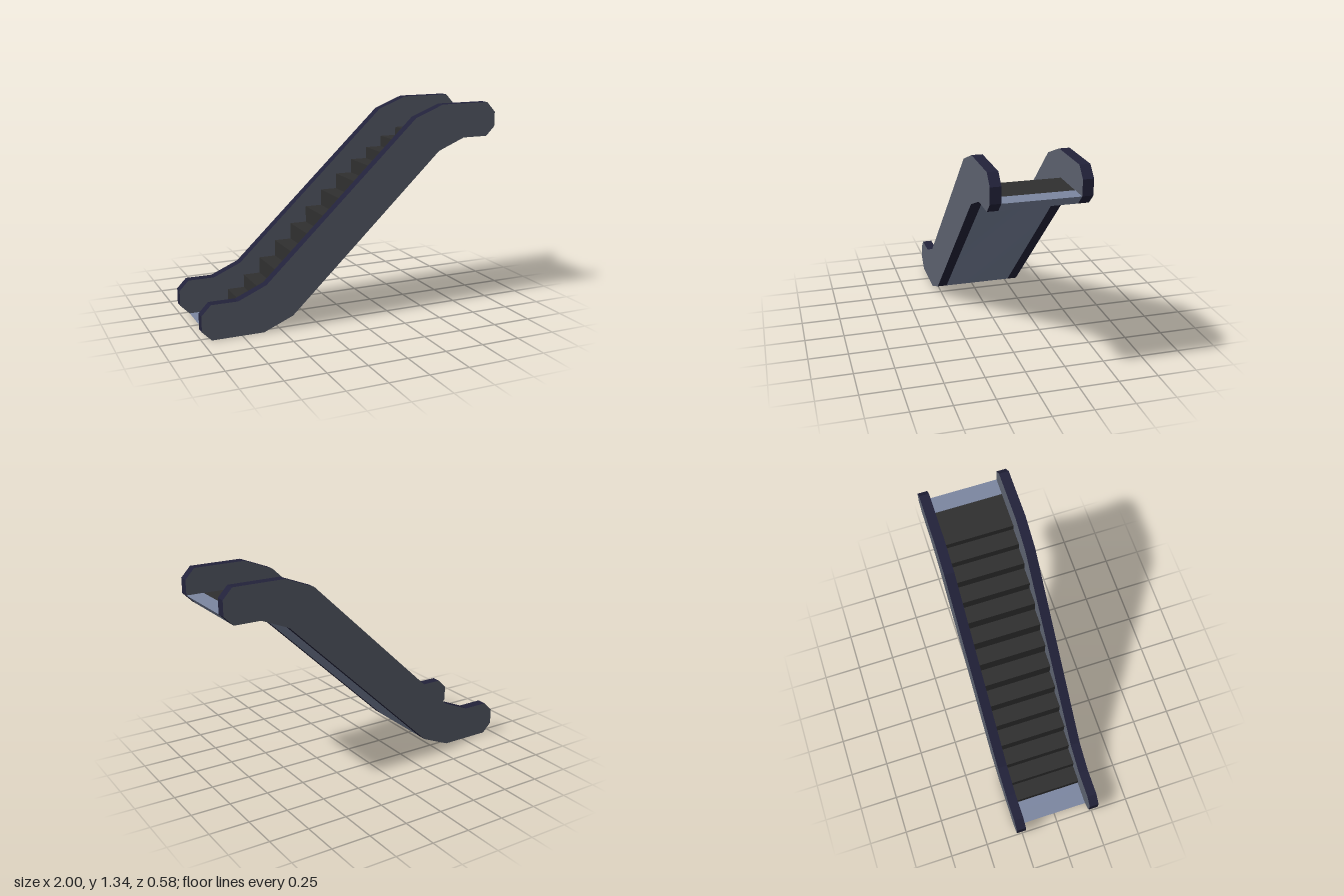
import * as THREE from 'three';

const mat = (name, color, double = false) => {
  const m = new THREE.MeshStandardMaterial({ color, side: double ? THREE.DoubleSide : THREE.FrontSide });
  m.name = name;
  return m;
};

// Sheet spanning z = -w..w that follows a path of [x, y] points
function ribbon(path, w, smooth) {
  const pos = [], idx = [];
  path.forEach(([x, y], i) => {
    pos.push(x, y, w, x, y, -w);
    if (i) {
      const a = 2 * (i - 1);
      idx.push(a, a + 2, a + 3, a, a + 3, a + 1);
    }
  });
  let g = new THREE.BufferGeometry();
  g.setAttribute('position', new THREE.Float32BufferAttribute(pos, 3));
  g.setIndex(idx);
  if (!smooth) g = g.toNonIndexed();
  g.computeVertexNormals();
  return g;
}

export function createModel() {
  const group = new THREE.Group();
  const panelGrey = mat('panelGrey', 0x5c616e);
  const rimNavy = mat('rimNavy', 0x22223a);
  const casingBlue = mat('casingBlue', 0x7c87a1, true);
  const stepCharcoal = mat('stepCharcoal', 0x2f2f2f, true);

  const add = (name, geometry, material) => {
    const mesh = new THREE.Mesh(geometry, material);
    mesh.name = name;
    group.add(mesh);
    return mesh;
  };

  // Balustrades: grey faces with a navy rim all round
  const outline = [
    [-1, 0.06], [-0.94, 0], [-0.61, 0], [-0.42, 0.08], [0.59, 1.04], [0.77, 1.115], [0.94, 1.115], [1, 1.175],
    [1, 1.27], [0.94, 1.335], [0.61, 1.335], [0.42, 1.26], [-0.59, 0.3], [-0.77, 0.222], [-0.94, 0.222], [-1, 0.16],
  ];
  const shape = new THREE.Shape(outline.map(([x, y]) => new THREE.Vector2(x, y)));
  const panel = new THREE.ExtrudeGeometry(shape, { depth: 0.063, bevelEnabled: false });
  add('leftBalustrade', panel, [panelGrey, rimNavy]).position.z = 0.225;
  add('rightBalustrade', panel, [panelGrey, rimNavy]).position.z = -0.288;

  // Underside casing, its upper end face and the top landing
  const w = 0.225;
  add('undersideCasing', ribbon(outline.slice(1, 7), w, true), casingBlue);
  add('upperLanding', ribbon([[0.94, 1.115], [1, 1.175], [0.89, 1.175]], w, false), casingBlue);

  // Steps: risers grow along the incline and ease off at both ends
  const heights = [0.06, 0.13, 0.215, 0.32, 0.425, 0.53, 0.635, 0.74, 0.84, 0.93, 1.005, 1.075, 1.13, 1.174];
  const stairs = [[-0.79, 0]];
  heights.forEach((y, i) => {
    const x = -0.79 + i * 0.111;
    stairs.push([x, y], [i === heights.length - 1 ? 0.89 : x + 0.111, y]);
  });
  add('steps', ribbon(stairs, w, false), stepCharcoal);

  return group;
}
